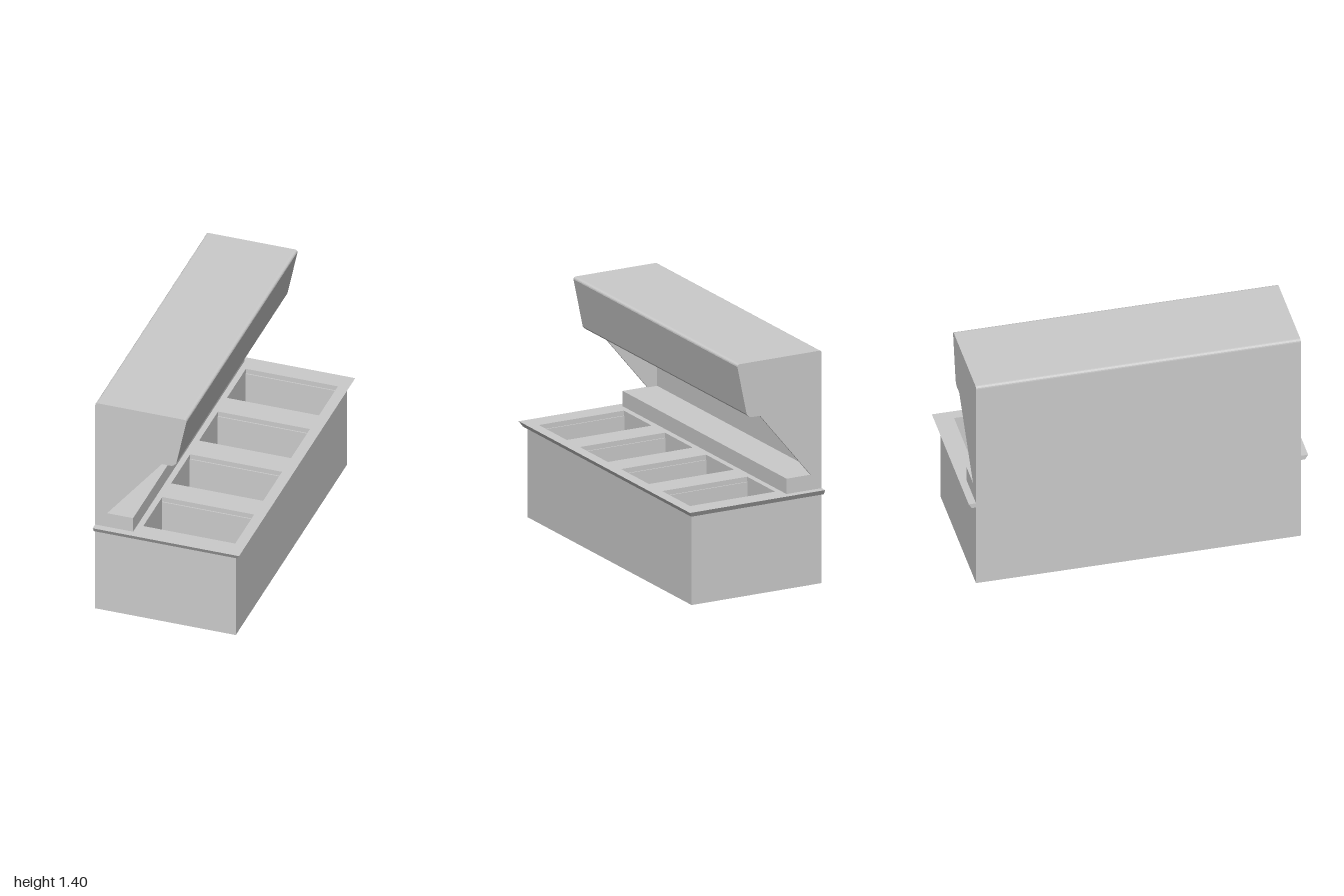
import * as THREE from 'three';

const BACK = -0.445;
const HALF = 0.957; // half length of cabinet and hood
const FLOOR = 0.25; // height of the basin floors
const BASINS = [-0.722, -0.242, 0.238, 0.718];

const material = new THREE.MeshStandardMaterial({ color: 0xcccccc, side: THREE.DoubleSide });

function add(group, name, geometry) {
  const mesh = new THREE.Mesh(geometry, material);
  mesh.name = name;
  group.add(mesh);
  return mesh;
}

function rectangle(path, x0, x1, z0, z1) {
  path.moveTo(x0, -z1);
  path.lineTo(x1, -z1);
  path.lineTo(x1, -z0);
  path.lineTo(x0, -z0);
  path.closePath();
  return path;
}

// Horizontal slab with one rectangular opening per basin
function slabWithBasins(x1, halfZ, y0, y1, openHalf) {
  const shape = rectangle(new THREE.Shape(), BACK, x1, -halfZ, halfZ);
  for (const z of BASINS) {
    shape.holes.push(rectangle(new THREE.Path(), -0.18, 0.378, z - openHalf, z + openHalf));
  }
  return new THREE.ExtrudeGeometry(shape, { depth: y1 - y0, bevelEnabled: false })
    .rotateX(-Math.PI / 2)
    .translate(0, y0, 0);
}

// Side profile of the hood from the foot of the ledge; inner lists the
// points between the ledge top and the underside of the canopy
function hoodProfile(inner) {
  const s = new THREE.Shape();
  s.moveTo(BACK, 0.57);
  s.lineTo(-0.215, 0.57);
  s.lineTo(-0.215, 0.662);
  for (const [x, y] of inner) s.lineTo(x, y);
  s.lineTo(-0.04, 1.067);
  s.lineTo(0.018, 1.067);
  s.quadraticCurveTo(0.03, 1.069, 0.047, 1.09);
  s.lineTo(0.108, 1.382);
  s.quadraticCurveTo(0.107, 1.397, 0.09, 1.397);
  s.lineTo(BACK + 0.016, 1.397);
  s.quadraticCurveTo(BACK, 1.397, BACK, 1.381);
  s.closePath();
  return s;
}

function extrudeAlongZ(shape, z0, z1) {
  return new THREE.ExtrudeGeometry(shape, { depth: z1 - z0, bevelEnabled: false, curveSegments: 4 })
    .translate(0, 0, z0);
}

export function createModel() {
  const model = new THREE.Group();
  model.name = 'hoodedCounter';

  // Cabinet: solid base and an upper part hollowed by the basins
  const cabinet = new THREE.Group();
  cabinet.name = 'cabinet';
  model.add(cabinet);
  const width = 0.408 - BACK;
  add(cabinet, 'cabinetBase', new THREE.BoxGeometry(width, FLOOR, HALF * 2))
    .position.set(BACK + width / 2, FLOOR / 2, 0);
  add(cabinet, 'basinWalls', slabWithBasins(0.408, HALF, FLOOR, 0.54, 0.156));

  // Countertop: front and end edges slope inward towards the bottom
  const top = slabWithBasins(0.443, 1, 0.54, 0.57, 0.163);
  const p = top.attributes.position;
  for (let i = 0; i < p.count; i++) {
    if (p.getY(i) > 0.55) continue;
    if (Math.abs(p.getZ(i)) > 0.99) p.setZ(i, Math.sign(p.getZ(i)) * 0.982);
    if (p.getX(i) > 0.43) p.setX(i, 0.425);
  }
  top.computeVertexNormals();
  add(model, 'countertop', top);

  // Hood: canopy, back wall and ledge in one section between thin end panels
  const hood = new THREE.Group();
  hood.name = 'hood';
  model.add(hood);
  const t = 0.012;
  const core = hoodProfile([[-0.435, 0.662], [-0.435, 0.972], [-0.04, 1.085]]);
  add(hood, 'canopyAndLedge', extrudeAlongZ(core, -HALF + t, HALF - t));
  const end = hoodProfile([[-0.373, 0.662]]);
  add(hood, 'rightEndPanel', extrudeAlongZ(end, -HALF, -HALF + t));
  add(hood, 'leftEndPanel', extrudeAlongZ(end, HALF - t, HALF));

  // Filter slats along the sloping underside of the canopy
  const slats = new THREE.Group();
  slats.name = 'filterSlats';
  hood.add(slats);
  const slope = Math.atan2(0.113, 0.395);
  const slat = new THREE.BoxGeometry(0.41, 0.02, 0.018);
  const count = 30;
  for (let i = 0; i <= count; i++) {
    const mesh = add(slats, 'filterSlat', slat);
    mesh.position.set(-0.236, 1.0205, (i / count - 0.5) * 2 * (HALF - 0.021));
    mesh.rotation.z = slope;
  }

  return model;
}
